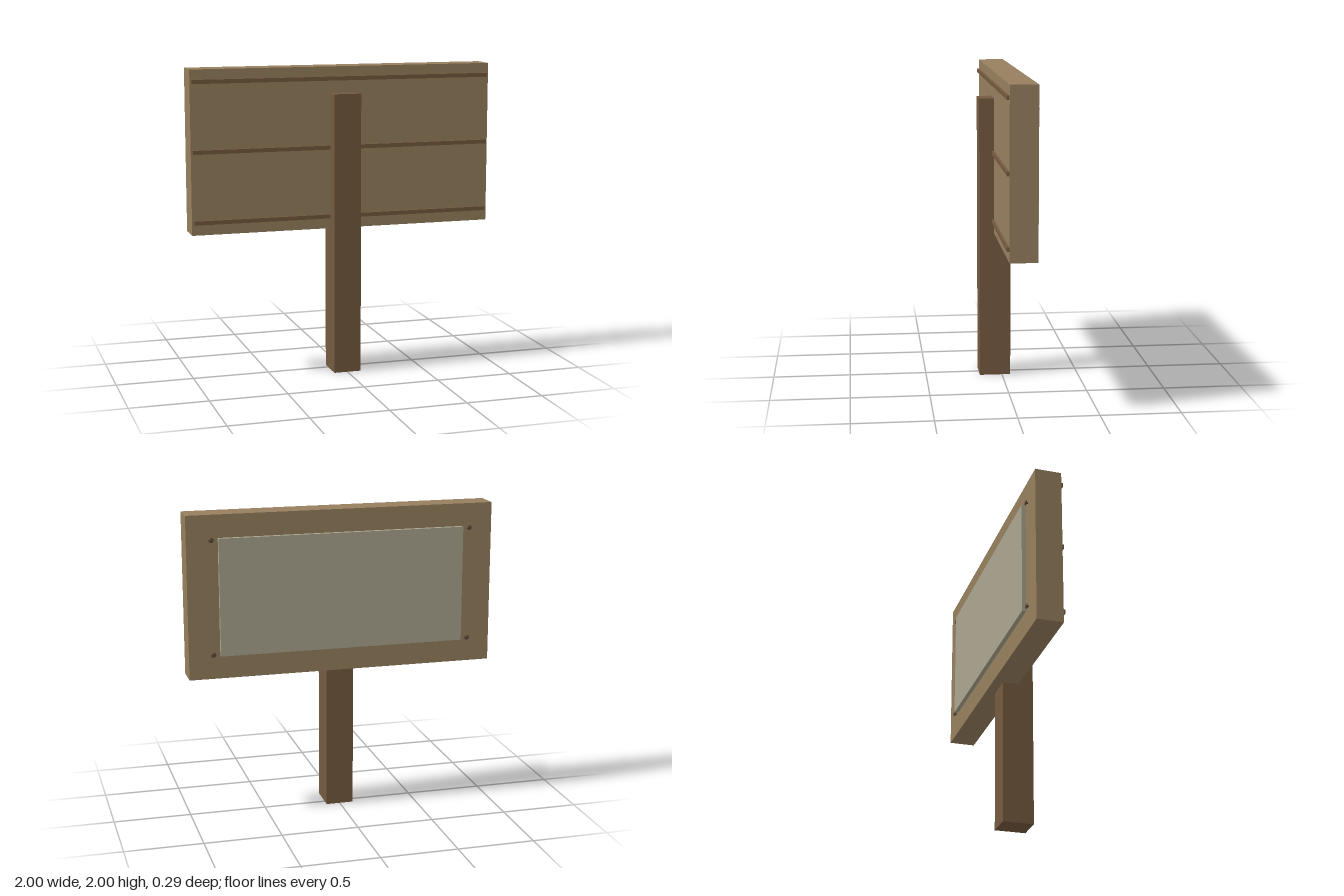
import * as THREE from 'three';

const paint = (color) => new THREE.MeshStandardMaterial({ color });

export function createModel() {
  const sign = new THREE.Group();
  sign.name = 'signboard';
  const lightWood = paint(0x967f5e);
  const darkWood = paint(0x755a40);
  const paper = paint(0xaaa58f);
  const metal = paint(0x5e4a38);

  // Box given by its minimum and maximum corners
  const box = (name, material, [x0, y0, z0], [x1, y1, z1]) => {
    const mesh = new THREE.Mesh(new THREE.BoxGeometry(x1 - x0, y1 - y0, z1 - z0), material);
    mesh.position.set((x0 + x1) / 2, (y0 + y1) / 2, (z0 + z1) / 2);
    mesh.name = name;
    sign.add(mesh);
  };

  box('post', darkWood, [-0.09, 0, -0.055], [0.09, 1.83, 0.147]);
  box('board', lightWood, [-1, 0.95, -0.12], [1, 2, 0.051]);
  box('noticePanel', paper, [-0.8, 1.1, -0.147], [0.8, 1.853, -0.12]);

  // Thin battens across the post side of the board
  for (const y of [1.03, 1.48, 1.923]) {
    box('batten', darkWood, [-0.988, y - 0.013, 0.051], [0.988, y + 0.013, 0.065]);
  }

  // Round-headed pins beside the panel corners
  const pinHead = new THREE.SphereGeometry(0.017, 12, 8);
  pinHead.scale(1, 1, 0.4);
  const pinShaft = new THREE.CylinderGeometry(0.007, 0.007, 0.015, 8);
  pinShaft.rotateX(Math.PI / 2);
  for (const x of [-0.845, 0.845]) {
    for (const y of [1.11, 1.843]) {
      const pin = new THREE.Group();
      pin.name = 'pin';
      const head = new THREE.Mesh(pinHead, metal);
      head.name = 'pinHead';
      head.position.z = -0.134;
      const shaft = new THREE.Mesh(pinShaft, metal);
      shaft.name = 'pinShaft';
      shaft.position.z = -0.126;
      pin.add(head, shaft);
      pin.position.set(x, y, 0);
      sign.add(pin);
    }
  }
  return sign;
}
